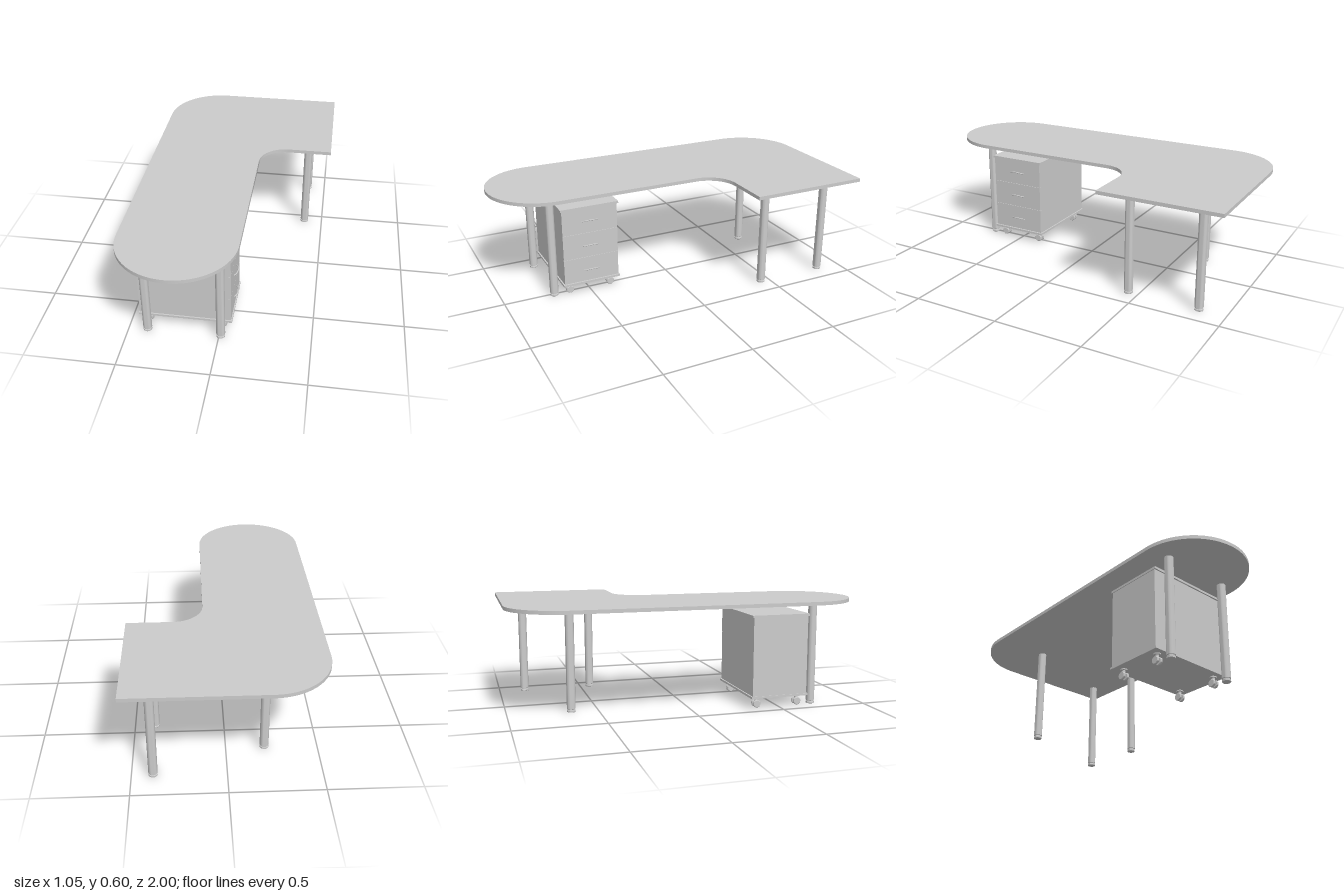
import * as THREE from 'three';
import { toCreasedNormals } from 'three/addons/utils/BufferGeometryUtils.js';

const material = new THREE.MeshStandardMaterial({ color: 0xcccccc });

function add(parent, name, geometry, x = 0, y = 0, z = 0) {
  const mesh = new THREE.Mesh(geometry, material);
  mesh.name = name;
  mesh.position.set(x, y, z);
  parent.add(mesh);
  return mesh;
}

// Box given by its limits on each axis
function slab(parent, name, x0, x1, y0, y1, z0, z1) {
  return add(parent, name, new THREE.BoxGeometry(x1 - x0, y1 - y0, z1 - z0),
    (x0 + x1) / 2, (y0 + y1) / 2, (z0 + z1) / 2);
}

function lathe(points, segments = 32) {
  const profile = points.map(([r, y]) => new THREE.Vector2(r, y));
  return toCreasedNormals(new THREE.LatheGeometry(profile, segments), 0.6);
}

// L-shaped top: rounded front end, rounded back corner, inner fillet
function tabletopGeometry() {
  const s = new THREE.Shape();
  const left = -0.528, right = 0.525, inner = 0.107, r = 0.3175, f = 0.163;
  s.moveTo(right, 1);
  s.lineTo(left + r, 1);
  s.absarc(left + r, 1 - r, r, Math.PI / 2, Math.PI, false);
  s.lineTo(left, -1 + r);
  s.absarc(left + r, -1 + r, r, Math.PI, Math.PI * 2, false);
  s.lineTo(inner, 0.313 - f);
  s.absarc(inner + f, 0.313 - f, f, Math.PI, Math.PI / 2, true);
  s.lineTo(right, 0.313);
  s.closePath();
  const g = new THREE.ExtrudeGeometry(s, { depth: 0.02, bevelEnabled: false, curveSegments: 32 });
  g.rotateX(-Math.PI / 2);
  return toCreasedNormals(g, 0.5);
}

// Bowed pull that arches outward and slightly upward
function handleGeometry() {
  const pts = [[0, -0.006, -0.046], [0.011, -0.002, -0.032], [0.017, 0.002, -0.013],
    [0.017, 0.002, 0.013], [0.011, -0.002, 0.032], [0, -0.006, 0.046]];
  const curve = new THREE.CatmullRomCurve3(pts.map(p => new THREE.Vector3(...p)));
  return new THREE.TubeGeometry(curve, 28, 0.0035, 8);
}

// Twin-wheel swivel caster
function makeCaster() {
  const caster = new THREE.Group();
  caster.name = 'caster';
  const wheel = lathe([[0, -0.007], [0.019, -0.007], [0.022, -0.004], [0.022, 0.004], [0.019, 0.007], [0, 0.007]], 24);
  wheel.rotateZ(Math.PI / 2);
  for (const side of [-1, 1]) add(caster, 'casterWheel', wheel, side * 0.012, 0.022, 0);
  const axle = new THREE.CylinderGeometry(0.008, 0.008, 0.034, 16);
  axle.rotateZ(Math.PI / 2);
  add(caster, 'casterAxle', axle, 0, 0.022, 0);
  add(caster, 'casterStem', new THREE.CylinderGeometry(0.009, 0.009, 0.034, 16), 0, 0.041, 0);
  add(caster, 'casterPlate', new THREE.CylinderGeometry(0.02, 0.02, 0.006, 20), 0, 0.057, 0);
  return caster;
}

// Rolling drawer cabinet, drawers facing +x
function makeCabinet() {
  const cabinet = new THREE.Group();
  cabinet.name = 'drawerCabinet';
  slab(cabinet, 'cabinetTop', -0.453, 0.065, 0.517, 0.53, 0.325, 0.668);
  slab(cabinet, 'cabinetBase', -0.453, 0.065, 0.06, 0.072, 0.325, 0.668);
  slab(cabinet, 'cabinetBody', -0.449, 0.046, 0.072, 0.517, 0.333, 0.66);
  const handle = handleGeometry();
  for (let i = 0; i < 3; i++) {
    const y = 0.074 + i * 0.148;
    slab(cabinet, 'drawerFront', 0.046, 0.059, y, y + 0.1465, 0.333, 0.66);
    add(cabinet, 'drawerHandle', handle, 0.059, 0.147 + i * 0.15, 0.497);
  }
  for (const x of [-0.4, 0.012]) {
    for (const z of [0.372, 0.62]) {
      const caster = makeCaster();
      caster.position.set(x, 0, z);
      cabinet.add(caster);
    }
  }
  return cabinet;
}

export function createModel() {
  const desk = new THREE.Group();
  desk.name = 'cornerDesk';
  add(desk, 'tabletop', tabletopGeometry(), 0, 0.583, 0);

  // Round legs with a grooved levelling foot
  const leg = lathe([[0, 0], [0.022, 0], [0.024, 0.002], [0.024, 0.011], [0.021, 0.013],
    [0.021, 0.018], [0.0245, 0.02], [0.0245, 0.583]]);
  const spots = [[-0.395, 0.712], [0.01, 0.712], [-0.21, -0.65], [0.387, -0.443], [0.387, -0.85]];
  for (const [x, z] of spots) add(desk, 'leg', leg, x, 0, z);

  desk.add(makeCabinet());
  return desk;
}
